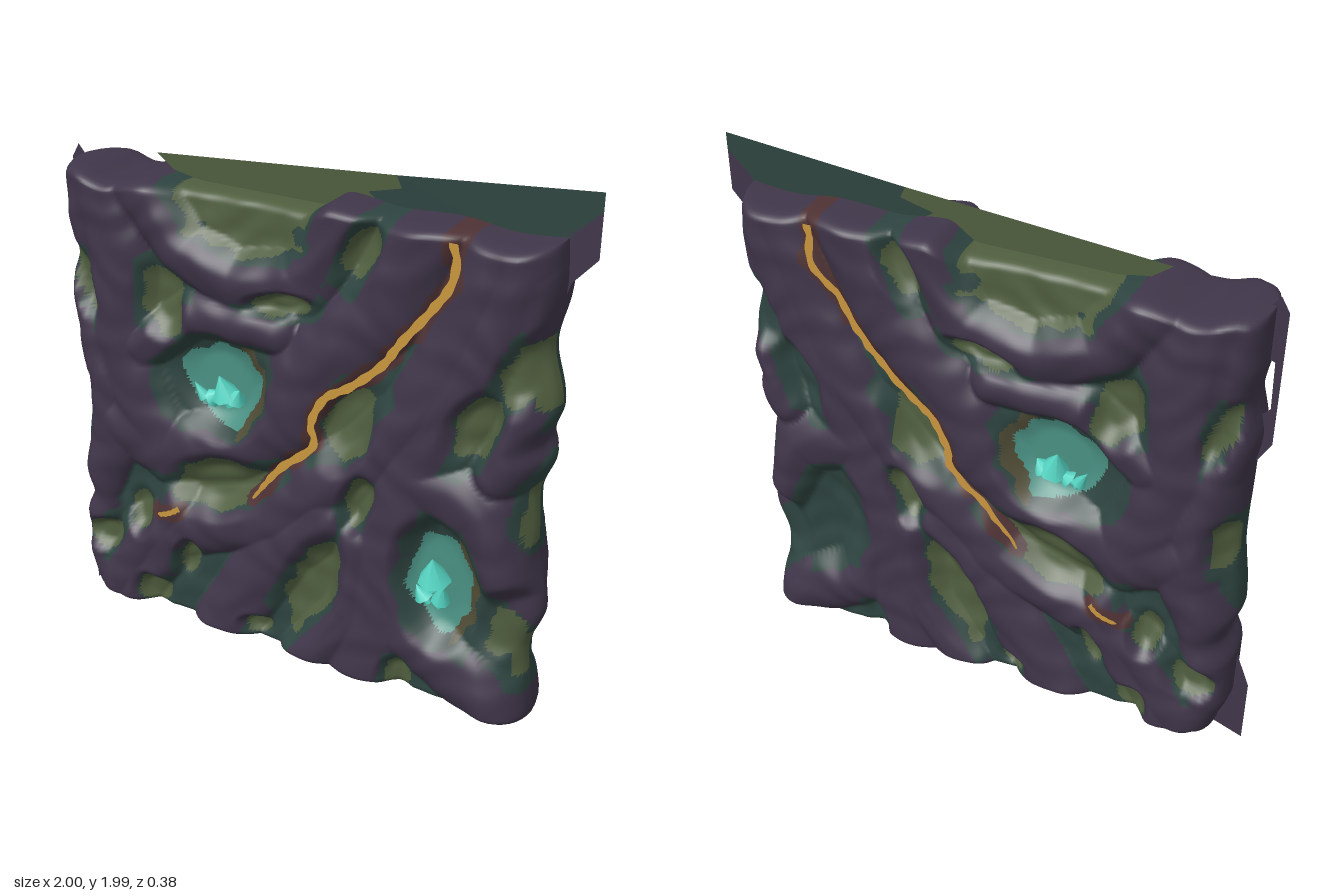
import * as THREE from 'three';

const mat = (name, color) => {
  const m = new THREE.MeshStandardMaterial({ color, side: THREE.DoubleSide });
  m.name = name;
  return m;
};

// Root centre lines, in hundredths of a unit: [width, x, y, x, y, ...]
const ROOTS = [
  [14, 49, 184, 33, 151, 6, 124, -2, 105, -26, 87, -53, 79, -74, 87],
  [13, 78, 186, 62, 145, 49, 119, 28, 95, 9, 80, -7, 63, -37, 53, -63, 39, -79, 12],
  [15, -77, 182, -69, 151, -71, 119, -63, 97, -53, 79],
  [12, -60, 182, -42, 160, -21, 152, 6, 157, 20, 184],
  [15, 84, 184, 62, 132, 46, 97, 38, 65, 33, 33, 28, 8],
  [13, 46, 97, 73, 89, 85, 66, 92, 54],
  [13, 38, 65, 49, 33, 76, 18, 88, 10],
  [11, -87, 124, -80, 105, -77, 76, -87, 55, -91, 10],
  [13, 14, 71, -5, 52, -18, 30, -31, 8],
  [9, -61, 119, -39, 136, -5, 137],
  [11, 28, 65, 25, 33, 6, 8],
  [9, 91, 170, 84, 120, 78, 105],
  [9, -47, 60, -58, 30, -74, 8],
  [10, -92, 180, -90, 160, -93, 125],
];
// Moss hollows: [x, y, radius x, radius y, turn], in hundredths of a unit
const MOSS = [
  [-18, 180, 24, 17, 0], [28, 171, 5, 10, -0.5], [-2, 148, 11, 4, 0.2], [-50, 139, 8, 11, 0.3],
  [-84, 140, 4, 11, 0.3], [24, 109, 8, 15, -0.45], [-29, 72, 18, 10, 0.35], [28, 81, 5, 10, -0.3],
  [10, 41, 9, 21, -0.4], [-65, 50, 5, 8, 0], [-82, 35, 8, 6, 0.4], [-44, 36, 4, 8, -0.3],
  [-61, 16, 6, 7, 0], [-14, 16, 5, 4, 0], [44, 14, 5, 7, 0], [70, 121, 7, 13, -0.5],
  [83, 141, 6, 13, -0.4], [82, 44, 8, 9, 0], [-88, 95, 4, 9, 0], [92, 142, 5, 13, 0],
  [89, 91, 4, 11, 0], [89, 36, 4, 9, 0], [58, 58, 12, 20, 0.1],
];
const CAVES = [[-29, 111, 17, 16, 0], [58, 58, 12, 20, 0.1]];
// Places where the rim thins out: [x, y, radius x, radius y, turn]
const THIN = [[92, 50, 20, 17, 0], [95, 142, 13, 20, 0], [93, 92, 9, 16, 0]];
const CRACKS = [
  [60, 182, 60, 169, 52, 157, 43, 145, 36, 135, 25, 125, 16, 119, 10.5, 108, 10, 98, -2, 87, -10, 77, -15, 70],
  [-45, 58.5, -49, 56, -55, 53],
];
// Outlines as [height, x] pairs for the sides and [x, height] pairs for the top
const LEFT = [0.08, 0.9, 0.25, 0.95, 0.42, 0.95, 0.52, 0.91, 0.65, 0.95, 0.95, 0.92, 1.2, 0.92, 1.35, 0.94, 1.5, 0.91, 1.65, 0.93, 1.87, 0.93];
const RIGHT = [0.08, 0.91, 0.36, 0.88, 0.52, 0.93, 0.78, 0.885, 0.97, 0.875, 1.1, 0.915, 1.16, 0.89, 1.3, 0.93, 1.5, 0.885, 1.7, 0.91, 1.87, 0.9];
const TOP = [-1, 1.81, -0.85, 1.82, -0.72, 1.79, -0.55, 1.82, -0.4, 1.8, 0.05, 1.8, 0.17, 1.86, 0.35, 1.84, 0.55, 1.85, 0.75, 1.83, 1, 1.85];

function follow(line, t) {
  let i = 0;
  while (i < line.length - 4 && t > line[i + 2]) i += 2;
  return THREE.MathUtils.lerp(line[i + 1], line[i + 3], THREE.MathUtils.smoothstep(t, line[i], line[i + 2]));
}
function lineDistance(x, y, pts, start) {
  let best = 1e9;
  for (let i = start; i + 3 < pts.length; i += 2) {
    const ax = pts[i], ay = pts[i + 1], dx = pts[i + 2] - ax, dy = pts[i + 3] - ay;
    const t = THREE.MathUtils.clamp(((x - ax) * dx + (y - ay) * dy) / (dx * dx + dy * dy), 0, 1);
    best = Math.min(best, Math.hypot(x - ax - dx * t, y - ay - dy * t));
  }
  return best;
}
function ellipse(x, y, [cx, cy, rx, ry, a]) {
  const c = Math.cos(a), s = Math.sin(a), dx = x - cx, dy = y - cy;
  return Math.hypot((dx * c + dy * s) / rx, (dy * c - dx * s) / ry);
}
const wobble = (x, y) => Math.sin(x * 0.21 + 2 * Math.sin(y * 0.13)) * Math.sin(y * 0.24 + 1.5 * Math.sin(x * 0.17));
const ridge = (x, y) => Math.max(0, ...ROOTS.map((r) => {
  const d = lineDistance(x, y, r, 1) / r[0];
  return d < 1 ? Math.pow(1 - d * d, 0.75) : 0;
}));
const nearest = (x, y, list) => Math.min(9, ...list.map((e) => ellipse(x, y, e)));
const caves = (front) => (front ? CAVES : CAVES.slice(0, 1));

// Half thickness of the wall at a point
function depth(X, Y, front) {
  const x = X * 100, y = Y * 100;
  const near = (list, a, b) => 1 - THREE.MathUtils.smoothstep(nearest(x, y, list), a, b);
  const pit = near(MOSS, 0.5, 1.5);
  const h = 0.118 + 0.064 * ridge(x, y) * (1 - 0.6 * pit) - 0.026 * pit + 0.005 * wobble(x, y);
  const rim = THREE.MathUtils.lerp(h, Math.min(h, 0.085), near(THIN, 0.5, 1.1));
  return THREE.MathUtils.lerp(rim, 0.075, near(caves(front), 0.6, 1.4));
}

// Index of the colour at a point
function paint(X, Y, front) {
  const x = X * 100, y = Y * 100, w = 0.2 * wobble(x, y);
  const list = caves(front), cave = nearest(x, y, list) + w * 0.6, r = ridge(x, y);
  if (cave < 0.94) return 3;
  if (cave < 1.18 && list.some((c) => ellipse(x, y, c) < 1.4 && x - c[0] > c[2] * 0.5)) return 5;
  if (Math.min(...CRACKS.map((c) => lineDistance(x, y, c, 0))) < 3.2 + w * 8) return 4;
  if (cave < 1.25 || (cave < 1.65 && r < 0.7)) return 1;
  const shown = front ? MOSS : MOSS.filter((m) => m[0] < 35);
  if (nearest(x, y, shown) + w < 1) return 2;
  const q = nearest(x, y, MOSS) + w;
  return q < 1.08 || (q < 1.7 && r < 0.75) || r < 0.1 ? 1 : 0;
}

// Even spacing over the flat, then a quarter turn round the edge
function edge(t, half, radius) {
  const a = Math.max(0, (Math.abs(t) - 0.9) / 0.1) * Math.PI / 2;
  const p = Math.min(Math.abs(t) / 0.9, 1) * (half - radius) + radius * Math.sin(a);
  return [Math.sign(t) * p, Math.max(0, Math.cos(a))];
}

// One face of the wall, rolled over its rim to z = 0
function wallFace(front, mats) {
  const N = 168, pos = [], flat = [], buckets = mats.map(() => []), s = front ? 1 : -1;
  for (let j = 0; j <= N; j++) for (let i = 0; i <= N; i++) {
    const [y0, fy] = edge(j / N * 2 - 1, 0.875, 0.035);
    const [x0, fx] = edge(i / N * 2 - 1, 0.92, 0.13);
    const Y = y0 + 0.955;
    const side = follow(x0 > 0 ? RIGHT : LEFT, Y) / 0.92;
    const X = x0 * (1 + (side - 1) * Math.abs(x0));
    const lift = THREE.MathUtils.smoothstep(Y, 1.5, 1.83) * (follow(TOP, X) - 1.83);
    const z = depth(X, Y, front) * Math.pow(fx, 0.75) * Math.pow(fy, 0.4);
    pos.push(X, Y + lift, s * z);
    flat.push([X, Y]);
  }
  const tri = (a, b, c) => {
    const m = (k) => (flat[a][k] + flat[b][k] + flat[c][k]) / 3;
    buckets[paint(m(0), m(1), front)].push(...(front ? [a, b, c] : [a, c, b]));
  };
  for (let j = 0; j < N; j++) for (let i = 0; i < N; i++) {
    const a = j * (N + 1) + i, b = a + 1, c = a + N + 1, d = c + 1;
    tri(a, b, d);
    tri(a, d, c);
  }
  const g = new THREE.BufferGeometry();
  g.setAttribute('position', new THREE.Float32BufferAttribute(pos, 3));
  let start = 0;
  buckets.forEach((b, k) => { g.addGroup(start, b.length, k); start += b.length; });
  g.setIndex(buckets.flat());
  g.computeVertexNormals();
  return new THREE.Mesh(g, mats);
}

// Glowing seam laid just over the surface
function seam(pts, front, material) {
  const path = [];
  for (let i = 0; i < pts.length; i += 2) path.push(new THREE.Vector2(pts[i] / 100, pts[i + 1] / 100));
  const curve = new THREE.SplineCurve(path), n = pts.length * 4, pos = [], normal = [], idx = [];
  for (let i = 0; i <= n; i++) {
    const t = i / n, p = curve.getPoint(t), d = curve.getTangent(t);
    const w = (0.0145 + 0.002 * Math.sin(i * 1.3)) * Math.min(1, 0.3 + (1 - t) * 4) * (pts.length < 8 ? 0.7 : 1);
    const sides = [-w, w].map((o) => [p.x - d.y * o, p.y + d.x * o]);
    const z = Math.max(depth(p.x, p.y, front), ...sides.map(([x, y]) => depth(x, y, front))) + 0.004;
    for (const [x, y] of sides) {
      pos.push(x, y, front ? z : -z);
      normal.push(0, 0, front ? 1 : -1);
    }
    const a = i * 2;
    if (i < n) idx.push(...(front ? [a, a + 2, a + 1, a + 1, a + 2, a + 3] : [a, a + 1, a + 2, a + 1, a + 3, a + 2]));
  }
  const g = new THREE.BufferGeometry();
  g.setAttribute('position', new THREE.Float32BufferAttribute(pos, 3));
  g.setAttribute('normal', new THREE.Float32BufferAttribute(normal, 3));
  g.setIndex(idx);
  return new THREE.Mesh(g, material);
}

export function createModel() {
  const group = new THREE.Group();
  const root = mat('root purple', 0x40364a), shade = mat('dark moss', 0x2e4440), moss = mat('olive moss', 0x505e3f);
  const glow = mat('cave teal', 0x4a9083), scorch = mat('scorched brown', 0x4e3234);
  const rim = mat('cave rim', 0x4f4c36), gold = mat('seam gold', 0xc8963e), cap = mat('mushroom cyan', 0x55d6c4);
  const add = (name, mesh) => { mesh.name = name; group.add(mesh); return mesh; };

  for (const front of [true, false]) {
    const end = front ? 'Front' : 'Back';
    add('wall' + end, wallFace(front, [root, shade, moss, glow, scorch, rim]));
    CRACKS.forEach((c) => add('seam' + end, seam(c, front, gold)));
  }

  // Mushrooms: [x, y, radius, height, lean, on both faces]
  const shrooms = [
    [-0.275, 1.08, 0.055, 0.09, 0.2, 1], [-0.37, 1.05, 0.025, 0.07, 0.5, 1], [-0.23, 1.07, 0.04, 0.05, -0.5, 1],
    [-0.32, 1.05, 0.035, 0.05, -0.9, 1], [0.56, 0.59, 0.06, 0.1, 0, 0], [0.59, 0.51, 0.035, 0.08, -0.2, 0],
    [0.52, 0.5, 0.035, 0.06, 0.5, 0],
  ];
  for (const [x, y, r, h, lean, both] of shrooms) for (const s of both ? [1, -1] : [1]) {
    const m = new THREE.Group();
    const stem = new THREE.Mesh(new THREE.CylinderGeometry(r * 0.25, r * 0.35, h * 0.6, 6), cap);
    const hat = new THREE.Mesh(new THREE.ConeGeometry(r, h, 7), cap);
    stem.position.y = -h * 0.35;
    hat.position.y = h * 0.3;
    stem.name = 'mushroomStem';
    hat.name = 'mushroomCap';
    m.add(stem, hat);
    m.position.set(x, y, s * 0.105);
    m.rotation.set(s * 0.25, 0, lean);
    add('mushroom', m);
  }

  // Thin ragged sheets at the middle of the wall
  const sheet = (name, material, pts) =>
    add(name, new THREE.Mesh(new THREE.ShapeGeometry(new THREE.Shape(pts.map((p) => new THREE.Vector2(...p)))), material));
  sheet('topSheetMoss', moss, [[-0.6, 1.87], [-0.45, 1.76], [0.15, 1.76], [0.25, 1.85], [0.22, 1.87], [0.34, 1.9], [0.32, 1.94]]);
  sheet('topSheetShade', shade, [[0.32, 1.94], [0.34, 1.9], [0.22, 1.87], [0.25, 1.85], [0.15, 1.76], [0.86, 1.76], [0.92, 1.86], [1, 1.94], [1, 2]]);
  sheet('topSheetRoot', root, [[1, 1.94], [0.92, 1.87], [0.84, 1.84], [0.82, 1.6], [0.89, 1.6], [0.92, 1.7], [1, 1.79]]);
  sheet('cornerSheet', root, [[-1, 0.01], [-0.8, 0.08], [-0.8, 0.3], [-0.9, 0.55], [-0.94, 0.42], [-1, 0.27]]);
  sheet('sideSheet', root, [[-0.97, 1.8], [-0.94, 1.85], [-0.9, 1.8], [-0.9, 1.64], [-0.945, 1.62], [-0.95, 1.45],
    [-0.9, 1.4], [-0.88, 1.2], [-0.93, 1.25], [-0.97, 1.32]]);
  return group;
}
